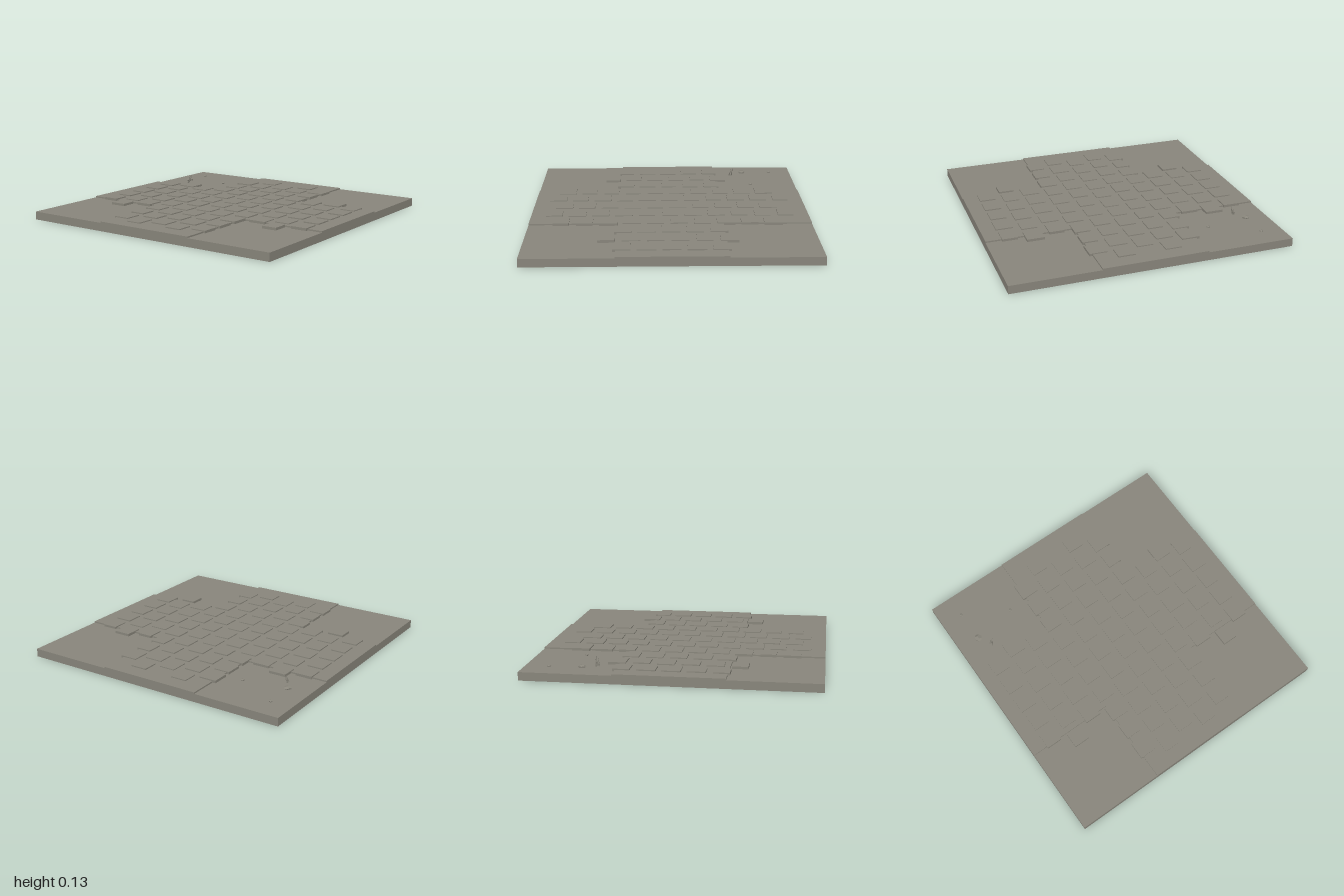
import * as THREE from 'three';

export function createModel() {
  const root = new THREE.Group();
  root.name = 'cobbledCrossroadTile';
  const stone = new THREE.MeshStandardMaterial({ color: 0x88857b });
  stone.name = 'warm grey stone';

  const add = (name, geometry, x, y, z, parent = root) => {
    const mesh = new THREE.Mesh(geometry, stone);
    mesh.name = name;
    mesh.position.set(x, y, z);
    parent.add(mesh);
    return mesh;
  };

  let seed = 17;
  const jitter = (amount) => {
    seed = (seed * 16807) % 2147483647;
    return (seed / 2147483647 - 0.5) * 2 * amount;
  };

  const GROUND = 0.058, ROAD = 0.068, HALF = 0.374, PITCH = 1 / 6;

  // Square base
  add('base', new THREE.BoxGeometry(2, GROUND, 2), 0, GROUND / 2, 0);

  // Raised road in the shape of a cross
  const h = HALF;
  const cross = new THREE.Shape([
    [-h, -1], [h, -1], [h, -h], [1, -h], [1, h], [h, h],
    [h, 1], [-h, 1], [-h, h], [-1, h], [-1, -h], [-h, -h],
  ].map(([x, y]) => new THREE.Vector2(x, y)));
  const road = new THREE.ExtrudeGeometry(cross, { depth: ROAD - GROUND, bevelEnabled: false });
  road.rotateX(-Math.PI / 2);
  add('road', road, 0, GROUND, 0);

  // Cobbles: every other row is shifted sideways
  const cobbles = new THREE.Group();
  cobbles.name = 'cobbles';
  root.add(cobbles);
  for (let row = -5; row <= 5; row++) {
    const shifted = row % 2 === 0;
    const reach = Math.abs(row) <= 2 ? 5 : shifted ? 3 : 2;
    const last = shifted ? reach - 1 : reach;
    for (let i = -reach; i <= last; i++) {
      const w = 0.12 + jitter(0.01), d = 0.118 + jitter(0.01);
      const top = 0.0755 + jitter(0.001);
      add('cobble', new THREE.BoxGeometry(w, top - GROUND, d),
        i * PITCH + (shifted ? 0.06 : 0), (top + GROUND) / 2, row * PITCH, cobbles);
    }
  }

  // Pebbles lying in the back corner
  for (const [x, z, r, height] of [
    [0.605, -0.84, 0.029, 0.012], [0.83, -0.845, 0.015, 0.008], [0.65, -0.525, 0.015, 0.008],
  ]) {
    const pebble = add('pebble', new THREE.DodecahedronGeometry(r, 0), x, GROUND + height * 0.8, z);
    pebble.scale.y = height / r;
  }

  // Thin blades of a grass tuft, each running from its foot to its tip
  const tuft = new THREE.Group();
  tuft.name = 'grassTuft';
  root.add(tuft);
  for (const [fx, fz, tx, ty, tz] of [
    [0.5, -0.785, 0.515, 0.122, -0.765],
    [0.518, -0.785, 0.525, 0.13, -0.757],
    [0.522, -0.79, 0.526, 0.108, -0.782],
  ]) {
    const foot = new THREE.Vector3(fx, GROUND, fz);
    const dir = new THREE.Vector3(tx, ty, tz).sub(foot);
    const length = dir.length();
    const geometry = new THREE.ConeGeometry(0.005, length, 4).translate(0, length / 2, 0);
    const blade = add('grassBlade', geometry, fx, GROUND, fz, tuft);
    blade.quaternion.setFromUnitVectors(new THREE.Vector3(0, 1, 0), dir.normalize());
  }

  return root;
}
